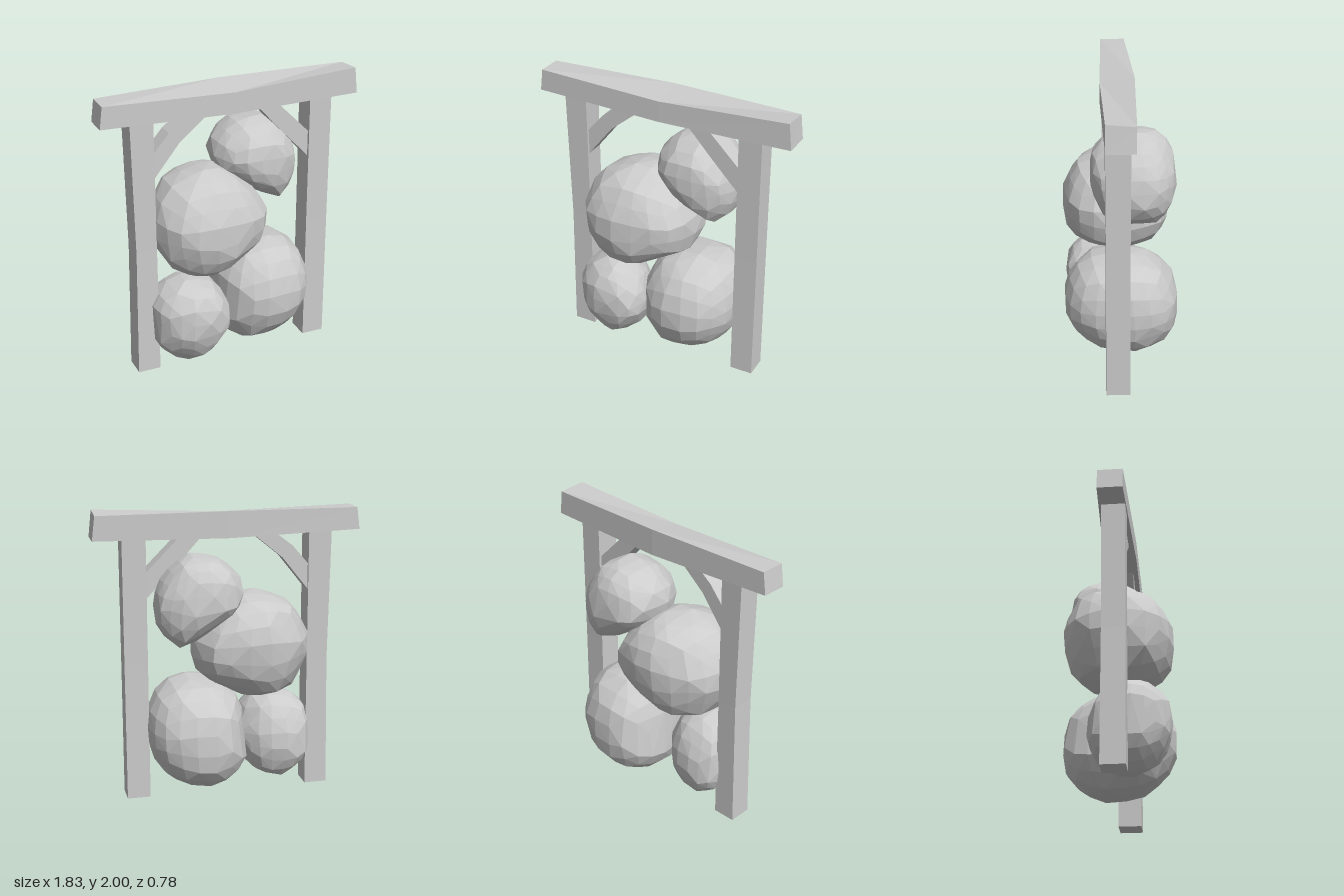
import * as THREE from 'three';
import { ConvexGeometry } from 'three/addons/geometries/ConvexGeometry.js';

const material = new THREE.MeshStandardMaterial({ color: 0xcccccc, flatShading: true, side: THREE.DoubleSide });

function addMesh(parent, name, geometry) {
  const mesh = new THREE.Mesh(geometry, material);
  mesh.name = name;
  parent.add(mesh);
}

// Moves every vertex of a geometry by a rule
function reshape(geometry, rule) {
  const p = geometry.attributes.position;
  const v = new THREE.Vector3();
  for (let i = 0; i < p.count; i++) {
    v.fromBufferAttribute(p, i);
    rule(v);
    p.setXYZ(i, v.x, v.y, v.z);
  }
  return geometry;
}

// Repeatable noise in -1..1
function noise(i, seed) {
  const s = Math.sin(i * 78.23 + seed * 9.17) * 437.585;
  return (s - Math.floor(s)) * 2 - 1;
}

// Grid points of a cube surface, evened out and projected to a unit sphere
function cubeSphere(segments) {
  const points = [];
  const c = (i) => Math.tan((i / segments - 0.5) * Math.PI / 2);
  for (let i = 0; i <= segments; i++) {
    for (let j = 0; j <= segments; j++) {
      for (let k = 0; k <= segments; k++) {
        if ([i, j, k].some((n) => n === 0 || n === segments)) {
          points.push(new THREE.Vector3(c(i), c(j), c(k)).normalize());
        }
      }
    }
  }
  return points;
}

// Chipped rock whose outline follows radii given every 30 degrees.
// box squares off the front and back, lean shifts z with height, turn shifts z with x
function boulder({ center: [cx, cy, cz], radii, front, back, box, lean, turn, rough, seed }) {
  const points = cubeSphere(5).map((d, index) => {
    const t = ((Math.atan2(d.y, d.x) / (Math.PI * 2) + 1) % 1) * 12;
    const i = Math.floor(t) % 12;
    const r = THREE.MathUtils.lerp(radii[i], radii[(i + 1) % 12], t - Math.floor(t));
    const bump = 1.01 + rough * noise(index, seed);
    const k = r * Math.pow(Math.hypot(d.x, d.y), -0.14) * bump;
    const dx = d.x * k;
    const dy = d.y * k;
    const dz = d.z > 0
      ? Math.pow(d.z, box[0]) * (front - cz)
      : -Math.pow(-d.z, box[1]) * (cz - back);
    return new THREE.Vector3(cx + dx, cy + dy, cz + dz * bump + lean * dy + turn * dx);
  });
  return new ConvexGeometry(points);
}

export function createModel() {
  const model = new THREE.Group();
  model.name = 'boulderFrame';

  // Two posts, slightly waisted at mid height
  for (const side of [-1, 1]) {
    const post = reshape(new THREE.BoxGeometry(0.16, 1.84, 0.16, 1, 2, 1), (v) => {
      const waist = Math.abs(v.y) < 0.1;
      const outer = v.x * side > 0;
      v.x += side * (0.64 - (waist && outer && side < 0 ? 0.015 : 0));
      if (waist) v.z *= 0.97;
      v.y += 0.92;
      v.z += 0.03;
    });
    addMesh(model, side < 0 ? 'rightPost' : 'leftPost', post);
  }

  // Lintel, thicker in the middle with skewed ends
  const ends = [
    { top: [1.98, 1.98], bottom: 1.83, back: -0.06, front: 0.11 },
    { top: [1.99, 1.955], bottom: 1.81, back: -0.1, front: 0.13 },
    { top: [1.985, 2.0], bottom: 1.82, back: -0.075, front: 0.113 },
  ];
  const lintel = reshape(new THREE.BoxGeometry(2, 1, 1, 2, 1, 1), (v) => {
    const s = Math.round(v.x);
    const e = ends[s + 1];
    const isFront = v.z > 0;
    const isTop = v.y > 0;
    v.x = s * (isTop ? 0.895 : 0.915);
    v.y = isTop ? e.top[isFront ? 1 : 0] : e.bottom;
    v.z = isFront ? e.front : e.back;
  });
  addMesh(model, 'lintel', lintel);

  // Corner braces between posts and lintel
  const braces = [
    ['rightBrace', [[-0.58, 1.58], [-0.58, 1.4], [-0.38, 1.65], [-0.16, 1.83], [-0.32, 1.83], [-0.45, 1.73]]],
    ['leftBrace', [[0.58, 1.57], [0.58, 1.39], [0.37, 1.61], [0.17, 1.83], [0.32, 1.83], [0.45, 1.7]]],
  ];
  for (const [name, points] of braces) {
    const shape = new THREE.Shape(points.map(([x, y]) => new THREE.Vector2(x, y)));
    const brace = new THREE.ExtrudeGeometry(shape, { depth: 0.12, bevelEnabled: false });
    brace.translate(0, 0, -0.03);
    addMesh(model, name, brace);
  }

  // Stacked boulders
  const boulders = {
    topBoulder: {
      center: [0.22, 1.42, -0.08], front: 0.21, back: -0.36,
      box: [1, 0.75], lean: 0, turn: 0, rough: 0.035, seed: 3,
      radii: [0.29, 0.27, 0.28, 0.29, 0.29, 0.3, 0.3, 0.24, 0.19, 0.25, 0.37, 0.33],
    },
    middleBoulder: {
      center: [-0.15, 1.06, 0.02], front: 0.39, back: -0.35,
      box: [0.92, 0.88], lean: -0.05, turn: -0.06, rough: 0.03, seed: 8,
      radii: [0.41, 0.36, 0.35, 0.36, 0.38, 0.4, 0.42, 0.42, 0.42, 0.37, 0.32, 0.39],
    },
    lowerRightBoulder: {
      center: [-0.34, 0.37, 0.1], front: 0.37, back: -0.16,
      box: [0.85, 0.95], lean: 0.08, turn: 0.12, rough: 0.035, seed: 14,
      radii: [0.27, 0.27, 0.31, 0.32, 0.31, 0.3, 0.24, 0.29, 0.3, 0.32, 0.28, 0.25],
    },
    lowerLeftBoulder: {
      center: [0.22, 0.46, -0.02], front: 0.38, back: -0.4,
      box: [0.92, 0.95], lean: 0.06, turn: 0, rough: 0.025, seed: 21,
      radii: [0.35, 0.38, 0.4, 0.38, 0.38, 0.35, 0.29, 0.38, 0.4, 0.38, 0.36, 0.35],
    },
  };
  for (const [name, spec] of Object.entries(boulders)) addMesh(model, name, boulder(spec));

  return model;
}
